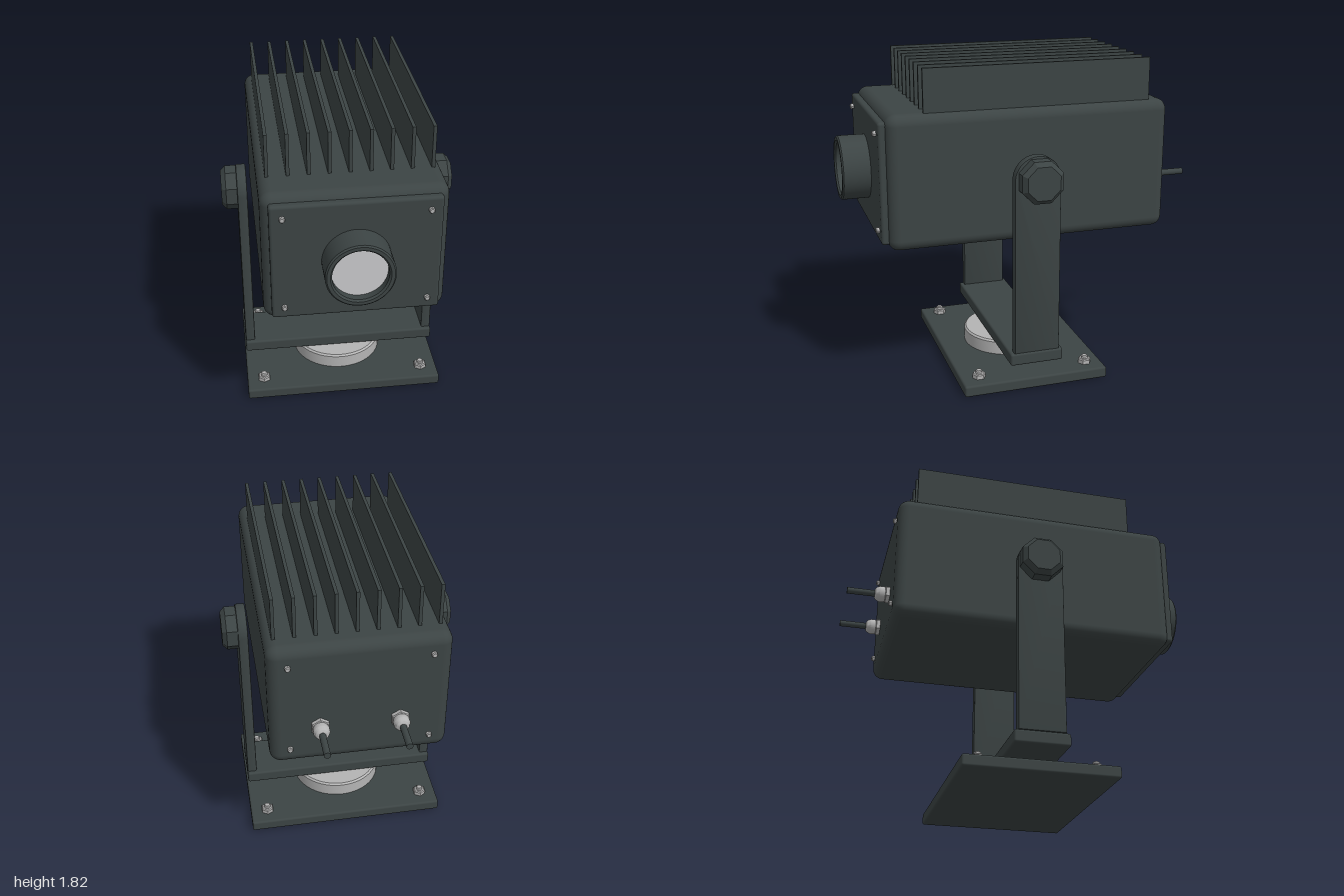
import * as THREE from 'three';
import { RoundedBoxGeometry } from 'three/addons/geometries/RoundedBoxGeometry.js';
import { toCreasedNormals } from 'three/addons/utils/BufferGeometryUtils.js';

export function createModel() {
  const model = new THREE.Group();
  model.name = 'floodlight';

  const mat = (name, color) => {
    const m = new THREE.MeshStandardMaterial({ color });
    m.name = name;
    return m;
  };
  const paint = mat('dark housing paint', 0x3c4444);
  const metal = mat('bare metal', 0xb4b4b4);
  const glass = mat('lens glass', 0xcacacc);

  const add = (name, geo, material, x = 0, y = 0, z = 0) => {
    const mesh = new THREE.Mesh(geo, material);
    mesh.name = name;
    mesh.position.set(x, y, z);
    model.add(mesh);
    return mesh;
  };
  const box = (name, w, h, d, r, x, y, z) =>
    add(name, new RoundedBoxGeometry(w, h, d, 4, r), paint, x, y, z);
  // Turned part: points are [radius, height]; edges sharper than 30 degrees stay crisp
  const turned = (points, sides) => toCreasedNormals(
    new THREE.LatheGeometry(points.map(p => new THREE.Vector2(...p)), sides), Math.PI / 6);

  const PIVOT_Z = 0.022, PIVOT_Y = 1.215;

  // Base plate, turntable and yoke crossbar
  box('basePlate', 1.15, 0.065, 0.84, 0.012, 0, 0.0325, 0.02);
  add('turntable', turned([[0, 0], [0.262, 0], [0.262, 0.075], [0.252, 0.085], [0, 0.085]], 64),
    metal, 0, 0.065, PIVOT_Z);
  box('yokeCrossbar', 1.14, 0.07, 0.305, 0.012, 0, 0.185, PIVOT_Z);

  // Anchor bolts in the corners of the base
  const nut = turned([[0, 0], [0.038, 0], [0.038, 0.022], [0.032, 0.028], [0, 0.028]], 6);
  const stud = turned([[0, 0], [0.019, 0], [0.019, 0.04], [0.014, 0.045], [0, 0.045]], 20);
  for (const x of [-0.475, 0.475]) for (const z of [-0.3, 0.335]) {
    add('anchorNut', nut, metal, x, 0.065, z);
    add('anchorStud', stud, metal, x, 0.065, z);
  }

  // Yoke arms with rounded tops and faceted pivot knobs
  const bevel = 0.008, armHalf = 0.13 - bevel;
  const armShape = new THREE.Shape();
  armShape.moveTo(-armHalf, 0.22 + bevel);
  armShape.lineTo(armHalf, 0.22 + bevel);
  armShape.lineTo(armHalf, PIVOT_Y);
  armShape.absarc(0, PIVOT_Y, armHalf, 0, Math.PI, false);
  armShape.closePath();
  const armGeo = new THREE.ExtrudeGeometry(armShape, {
    depth: 0.04, bevelEnabled: true, bevelSize: bevel, bevelThickness: bevel,
    bevelSegments: 2, curveSegments: 24,
  });
  armGeo.translate(0, 0, -0.02);
  armGeo.rotateY(-Math.PI / 2);
  const arm = toCreasedNormals(armGeo, Math.PI / 6);

  const knob = turned([[0, 0], [0.124, 0], [0.124, 0.062], [0.098, 0.088], [0, 0.088]], 8);
  knob.rotateY(Math.PI / 8);
  for (const s of [-1, 1]) {
    add('yokeArm', arm, paint, s * 0.541, 0, PIVOT_Z);
    add('pivotKnob', knob, paint, s * 0.568, PIVOT_Y, 0.018).rotation.z = -s * Math.PI / 2;
  }

  // Housing, cooling fins and front panel
  box('housing', 0.95, 0.735, 1.575, 0.06, 0, 1.2175, 0.0225);
  for (let i = 0; i < 9; i++) {
    add('coolingFin', new THREE.BoxGeometry(0.018, 0.245, 1.265), paint,
      (i - 4) * 0.106, 1.6925, -0.0275);
  }
  box('frontPanel', 0.87, 0.66, 0.05, 0.016, 0, 1.217, 0.82);

  // Lens barrel with a recessed glass
  const barrel = turned([[0.178, 0], [0.178, 0.152], [0.17, 0.16], [0.152, 0.16],
    [0.143, 0.15], [0.143, 0.1]], 64);
  add('lensBarrel', barrel, paint, 0, PIVOT_Y, 0.84).rotation.x = Math.PI / 2;
  add('lens', new THREE.CircleGeometry(0.145, 64), glass, 0, PIVOT_Y, 0.95);

  // Panel screws, front and back
  const screw = turned([[0, 0], [0.015, 0], [0.015, 0.016], [0.011, 0.021], [0, 0.021]], 12);
  for (const x of [-0.37, 0.37]) for (const y of [0.955, 1.48]) {
    add('frontScrew', screw, metal, x, y, 0.844).rotation.x = Math.PI / 2;
    add('backScrew', screw, metal, x, y, -0.764).rotation.x = -Math.PI / 2;
  }

  // Cable glands and cables at the back
  const glandNut = turned([[0, 0], [0.052, 0], [0.052, 0.022], [0.046, 0.026], [0, 0.026]], 6);
  const glandCap = turned([[0.04, 0.02], [0.044, 0.034], [0.044, 0.056], [0.034, 0.076],
    [0.024, 0.082], [0, 0.082]], 24);
  const cable = new THREE.CylinderGeometry(0.018, 0.018, 0.22, 20);
  for (const x of [-0.21, 0.21]) {
    add('glandNut', glandNut, metal, x, 1.09, -0.764).rotation.x = -Math.PI / 2;
    add('glandCap', glandCap, metal, x, 1.09, -0.764).rotation.x = -Math.PI / 2;
    add('cable', cable, paint, x, 1.09, -0.89).rotation.x = Math.PI / 2;
  }

  return model;
}
